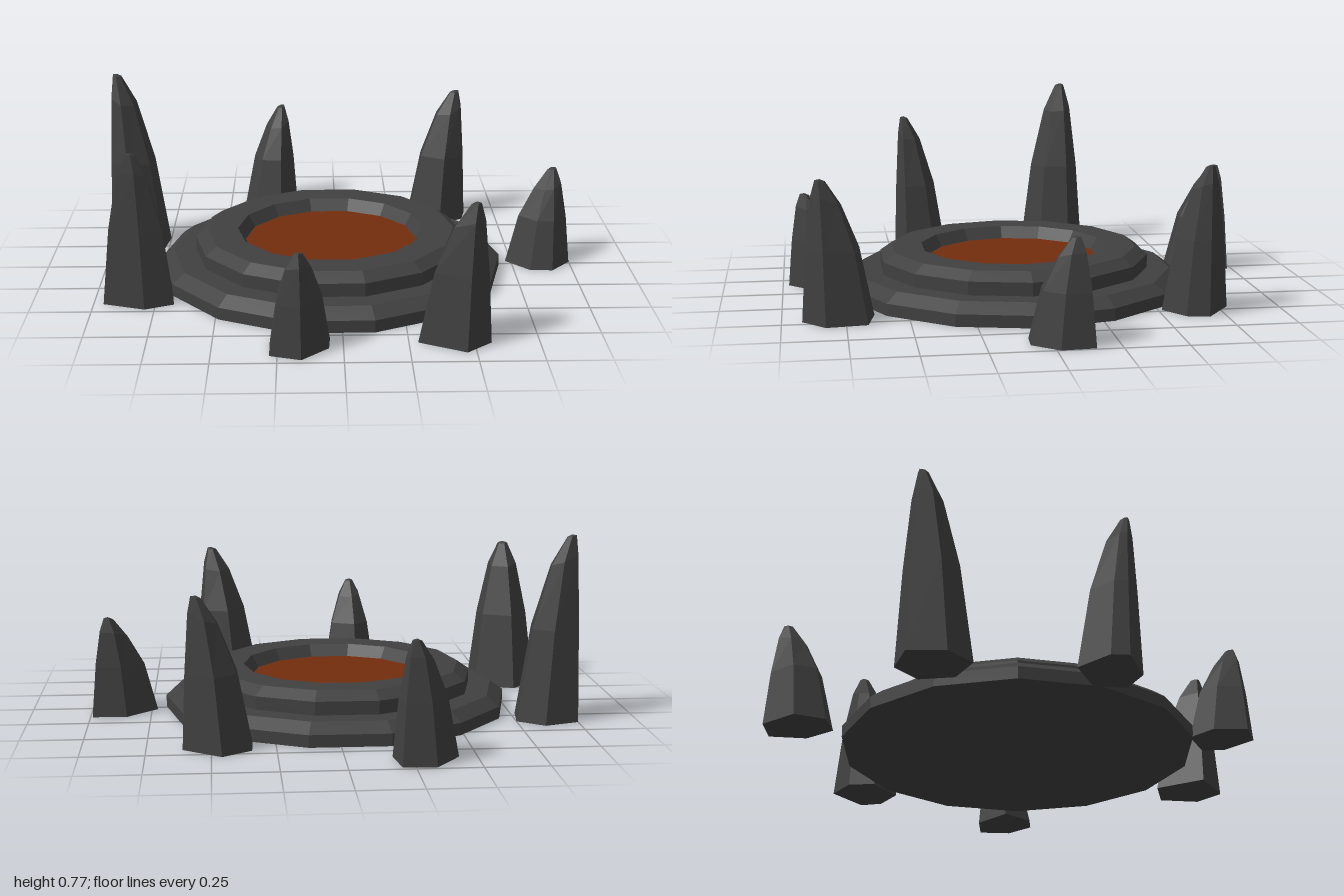
import * as THREE from 'three';

const rock = new THREE.MeshStandardMaterial({ color: 0x404040 });
rock.name = 'darkRock';
const lava = new THREE.MeshStandardMaterial({ color: 0x742d0e });
lava.name = 'lavaOrange';

const SIDES = 14;
const CENTRE = [-0.035, 0.02];

// Faceted look: every triangle gets its own normal
function faceted(geometry) {
  const g = geometry.index ? geometry.toNonIndexed() : geometry;
  g.computeVertexNormals();
  return g;
}

// Rings of a stone: height fraction, width towards the tip, slope of the ring
const RINGS = [[0, 1, 0], [0.5, 0.74, 0], [0.9, 0.42, 0.5], [1, 0.14, 0.3]];

// Leaning stone: a base outline (clockwise from above) lofted towards its tip
function stoneGeometry(base, [tx, tz], height) {
  const rings = RINGS.map(([t, s, slope]) => base.map(([x, z]) => {
    const dx = (x - tx) * s, dz = (z - tz) * s;
    return [tx + dx, height * t - slope * Math.hypot(dx, dz), tz + dz];
  }));
  const n = base.length;
  const middle = (ring) => [0, 1, 2].map((k) => ring.reduce((sum, p) => sum + p[k], 0) / n);
  const foot = middle(rings[0]), top = middle(rings[rings.length - 1]);
  top[1] = height;
  const out = [];
  for (let i = 0; i < n; i++) {
    const j = (i + 1) % n;
    for (let r = 0; r < rings.length - 1; r++) {
      const lo = rings[r], hi = rings[r + 1];
      out.push(...lo[j], ...lo[i], ...hi[i], ...lo[j], ...hi[i], ...hi[j]);
    }
    const last = rings[rings.length - 1];
    out.push(...top, ...last[j], ...last[i]);
    out.push(...foot, ...rings[0][i], ...rings[0][j]);
  }
  const g = new THREE.BufferGeometry();
  g.setAttribute('position', new THREE.Float32BufferAttribute(out, 3));
  return faceted(g);
}

const STONES = [
  { name: 'backRightStone', height: 0.47, tip: [-0.25, -0.93],
    base: [[-0.33, -0.985], [-0.2, -0.98], [-0.18, -0.83], [-0.26, -0.715], [-0.38, -0.73], [-0.43, -0.85]] },
  { name: 'backLeftStone', height: 0.6, tip: [0.565, -0.69],
    base: [[0.46, -0.79], [0.61, -0.68], [0.59, -0.59], [0.48, -0.515], [0.34, -0.6], [0.345, -0.71]] },
  { name: 'leftStone', height: 0.41, tip: [0.93, -0.09],
    base: [[0.85, -0.155], [0.99, -0.15], [1, -0.015], [0.915, 0.085], [0.82, 0.08], [0.725, -0.03]] },
  { name: 'frontLeftStone', height: 0.57, tip: [0.5, 0.85],
    base: [[0.39, 0.635], [0.545, 0.665], [0.565, 0.83], [0.465, 0.92], [0.285, 0.825]] },
  { name: 'frontStone', height: 0.4, tip: [-0.17, 0.91],
    base: [[-0.19, 0.715], [-0.05, 0.78], [-0.055, 0.87], [-0.16, 0.975], [-0.28, 0.935], [-0.28, 0.8]] },
  { name: 'frontRightStone', height: 0.64, tip: [-0.83, 0.44],
    base: [[-0.855, 0.235], [-0.69, 0.3], [-0.675, 0.43], [-0.79, 0.48], [-0.96, 0.42], [-0.965, 0.35]] },
  { name: 'rightStone', height: 0.77, tip: [-0.975, -0.345],
    base: [[-0.855, -0.43], [-0.75, -0.35], [-0.77, -0.21], [-0.895, -0.14], [-1, -0.23], [-1, -0.38]] },
];

export function createModel() {
  const model = new THREE.Group();
  model.name = 'lavaPitWithStones';

  // Two bevelled steps with a shallow basin
  const profile = [
    [0, 0], [0.725, 0], [0.725, 0.05], [0.67, 0.09],
    [0.575, 0.09], [0.575, 0.145], [0.525, 0.18],
    [0.395, 0.18], [0.36, 0.125],
  ].map(([r, y]) => new THREE.Vector2(r, y));
  const platform = new THREE.Mesh(faceted(new THREE.LatheGeometry(profile, SIDES, Math.PI / 2)), rock);
  platform.name = 'steppedPlatform';
  platform.position.set(CENTRE[0], 0, CENTRE[1]);
  model.add(platform);

  // Lava surface filling the basin
  const pool = new THREE.Mesh(new THREE.CircleGeometry(0.363, SIDES).rotateX(-Math.PI / 2), lava);
  pool.name = 'lavaPool';
  pool.position.set(CENTRE[0], 0.13, CENTRE[1]);
  model.add(pool);

  // Ring of standing stones
  const circle = new THREE.Group();
  circle.name = 'standingStones';
  for (const { name, base, tip, height } of STONES) {
    const stone = new THREE.Mesh(stoneGeometry(base, tip, height), rock);
    stone.name = name;
    circle.add(stone);
  }
  model.add(circle);
  return model;
}
